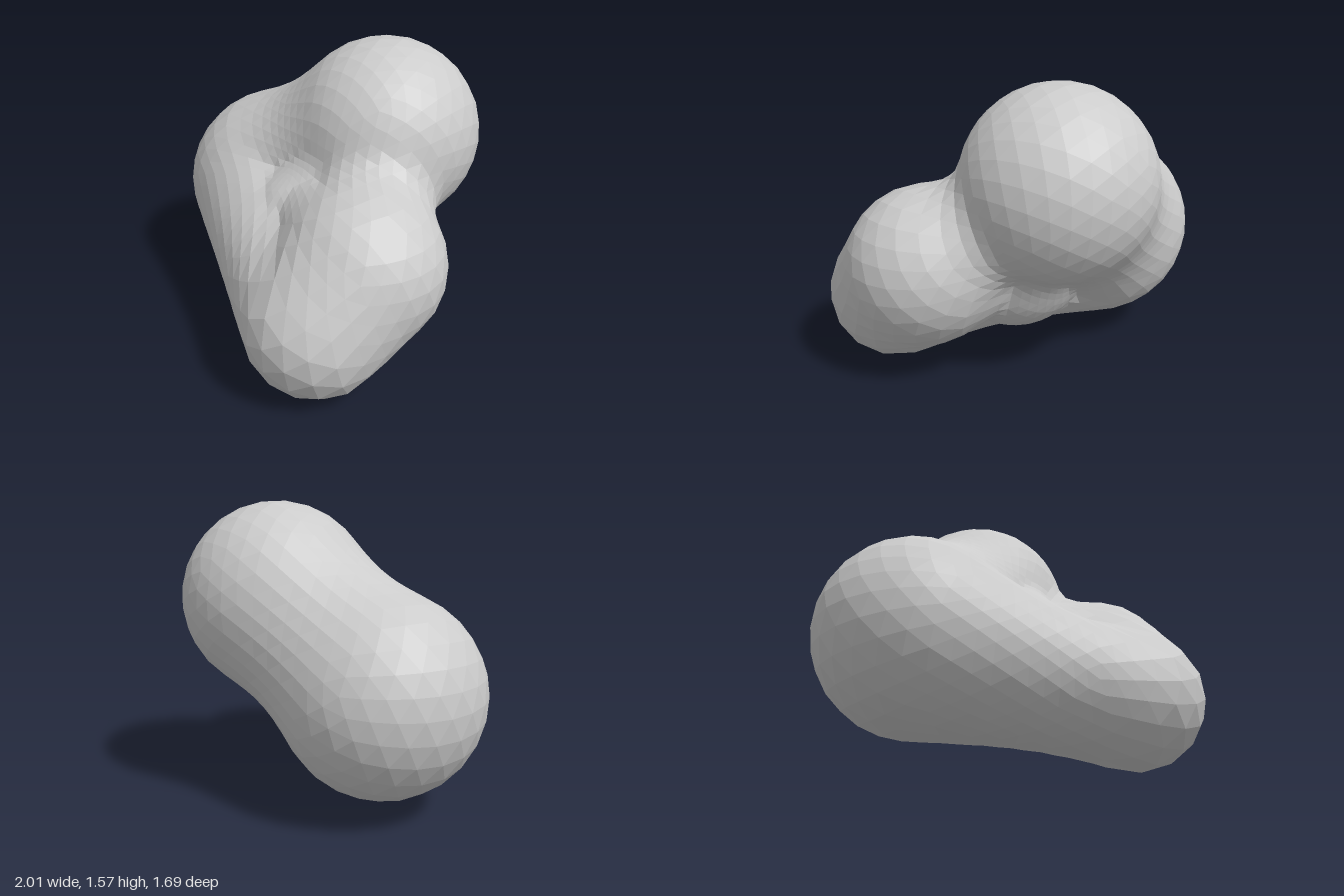
import * as THREE from 'three';

const v = (x, y, z) => new THREE.Vector3(x, y, z);

// Main lobes: centre and radius
const side = { c: v(-0.475, 0.625, -0.1), r: 0.53 };
const crown = { c: v(0.155, 1.065, -0.345), r: 0.51 };
const foot = { c: v(0.56, 0.372, 0.472), r: 0.372 };
const shoulder = { c: v(0.585, 0.61, 0.19), r: 0.422 };
const core = { c: v(0.06, 0.56, 0.05), r: 0.42 };

// Chain of spheres between two lobes, pinched by waist and bowed at the middle
function bridge(a, b, waist, bow = v(0, 0, 0), steps = 20) {
  const out = [];
  for (let i = 0; i <= steps; i++) {
    const t = i / steps;
    const mid = Math.sin(Math.PI * t);
    out.push({
      c: a.c.clone().lerp(b.c, t).addScaledVector(bow, mid),
      r: THREE.MathUtils.lerp(a.r, b.r, t) - waist * mid,
    });
  }
  return out;
}

// Distance from the origin point to the outermost sphere surface along dir
function reach(origin, dir, spheres) {
  let best = 0;
  for (const { c, r } of spheres) {
    const m = c.clone().sub(origin);
    const along = m.dot(dir);
    const h = r * r - (m.lengthSq() - along * along);
    if (h > 0) best = Math.max(best, along + Math.sqrt(h));
  }
  return best;
}

export function createModel() {
  const group = new THREE.Group();
  group.name = 'lobedBlob';

  const spheres = [
    ...bridge(side, foot, 0.07, v(0, -0.05, 0.06)),
    ...bridge(side, shoulder, 0.12),
    ...bridge(foot, shoulder, 0),
    ...bridge(side, crown, 0.05),
    ...bridge(core, crown, 0.07),
    ...bridge(shoulder, crown, 0.14),
  ];

  // Faceted skin: a ball pushed out to the lobes
  const geometry = new THREE.IcosahedronGeometry(1, 9);
  const origin = v(0.08, 0.74, -0.02);
  const pos = geometry.attributes.position;
  const dir = new THREE.Vector3();
  for (let i = 0; i < pos.count; i++) {
    dir.fromBufferAttribute(pos, i).normalize();
    dir.multiplyScalar(reach(origin, dir, spheres)).add(origin);
    pos.setXYZ(i, dir.x, dir.y, dir.z);
  }
  geometry.computeVertexNormals();

  const body = new THREE.Mesh(
    geometry,
    new THREE.MeshStandardMaterial({ color: 0xcccccc, flatShading: true })
  );
  body.name = 'body';
  group.add(body);
  return group;
}
